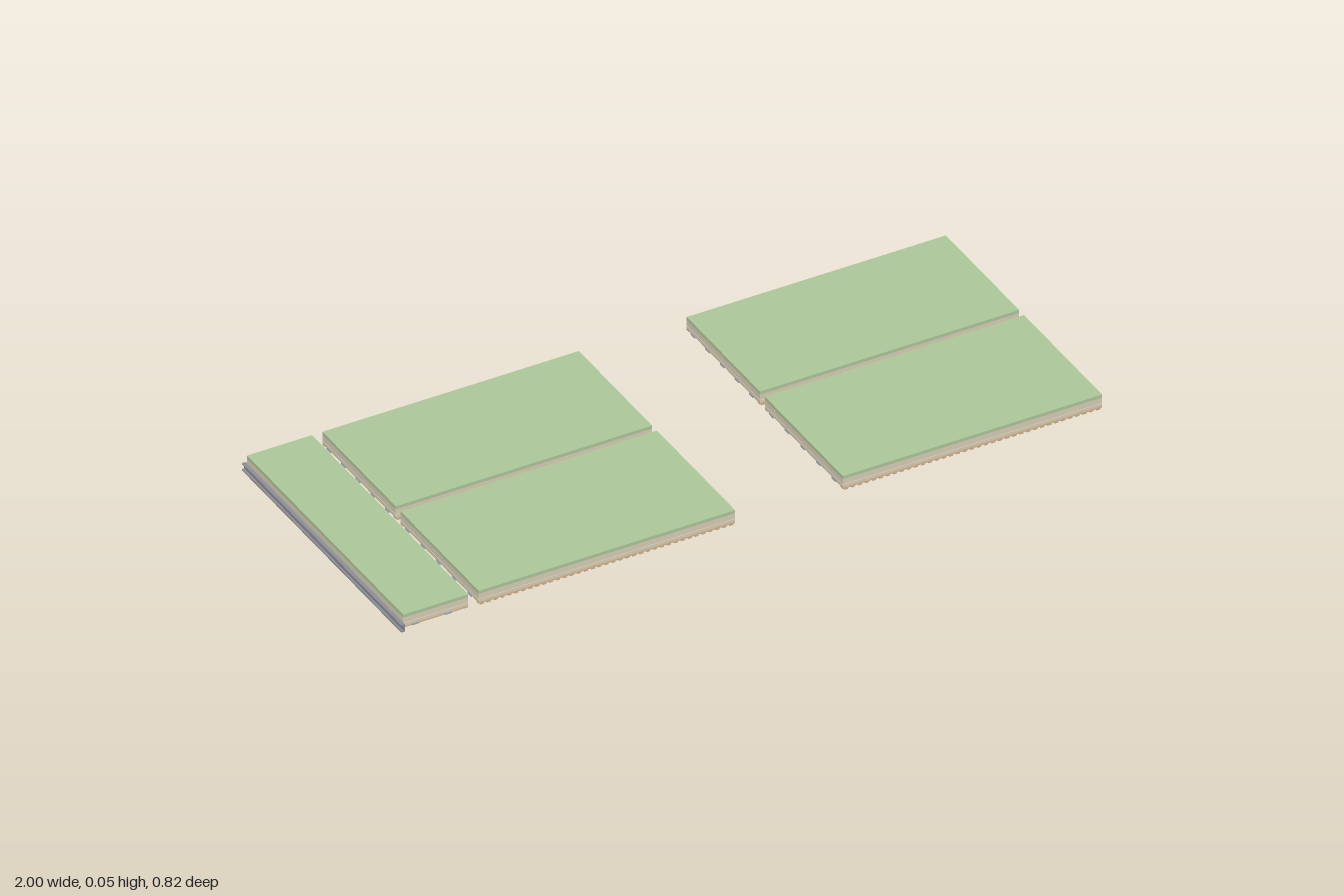
import * as THREE from 'three';

const mat = (name, color) => {
  const m = new THREE.MeshStandardMaterial({ color });
  m.name = name;
  return m;
};

export function createModel() {
  const green = mat('green covering', 0xaec89a);
  const beige = mat('beige insulation', 0xd9d0b8);
  const tan = mat('tan timber', 0xd6b48c);
  const blueGrey = mat('blue grey runner', 0xa3b0c4);
  const steel = mat('grey steel', 0x8f8f98);
  const model = new THREE.Group();

  // Box given by its limits on each axis
  function slab(parent, name, material, x0, x1, y0, y1, z0, z1) {
    const mesh = new THREE.Mesh(new THREE.BoxGeometry(x1 - x0, y1 - y0, z1 - z0), material);
    mesh.position.set((x0 + x1) / 2, (y0 + y1) / 2, (z0 + z1) / 2);
    mesh.name = name;
    parent.add(mesh);
  }

  // Layered panel; its runners follow the long side and the battens cross them
  function panel(name, x0, x1, z0, z1) {
    const g = new THREE.Group();
    g.name = name;
    slab(g, 'topCovering', green, x0, x1, 0.037, 0.046, z0, z1);
    slab(g, 'insulation', beige, x0, x1, 0.021, 0.037, z0, z1);
    slab(g, 'jointLayer', steel, x0 + 0.002, x1 - 0.002, 0.0195, 0.021, z0 + 0.002, z1 - 0.002);
    slab(g, 'lowerBoard', beige, x0, x1, 0.011, 0.0195, z0, z1);

    const alongX = x1 - x0 > z1 - z0;
    const [a0, a1, b0, b1] = alongX ? [x0, x1, z0, z1] : [z0, z1, x0, x1];
    const bar = (part, m, p0, p1, y0, y1, q0, q1) => alongX
      ? slab(g, part, m, p0, p1, y0, y1, q0, q1)
      : slab(g, part, m, q0, q1, y0, y1, p0, p1);

    // Runners between timber edge strips
    const rows = Math.round((b1 - b0) / 0.08);
    for (let i = 0; i < rows; i++) {
      const c = b0 + (i + 0.4) * (b1 - b0) / rows;
      bar('runner', blueGrey, a0, a1 + (alongX && x0 < 0 ? 0.003 : 0), 0.005, 0.011, c - 0.01, c + 0.01);
    }
    for (const c of [b0, b1 - 0.012]) bar('edgeStrip', tan, a0, a1, 0.007, 0.011, c, c + 0.012);

    // Closely spaced battens on the underside
    const count = Math.round((a1 - a0) / 0.02);
    const step = (a1 - a0) / count;
    for (let i = 0; i < count; i++) {
      const p = a0 + i * step;
      bar('batten', tan, p + 0.005, p + step - 0.005, 0.003, 0.007, b0, b1);
    }
    model.add(g);
  }

  panel('endPanel', -0.99, -0.805, -0.4, 0.4);
  for (const [x0, x1, side] of [[-0.775, -0.045, 'middle'], [0.262, 1, 'left']]) {
    panel(side + 'BackPanel', x0, x1, -0.4, -0.025);
    panel(side + 'FrontPanel', x0, x1, 0, 0.4);
  }

  // Channel rail along the outer end
  const rail = new THREE.Group();
  rail.name = 'endRail';
  slab(rail, 'railWeb', steel, -0.994, -0.99, 0, 0.022, -0.408, 0.408);
  slab(rail, 'railTopFlange', steel, -1, -0.994, 0.018, 0.022, -0.408, 0.408);
  slab(rail, 'railBottomFlange', steel, -1, -0.994, 0, 0.004, -0.408, 0.408);
  model.add(rail);

  return model;
}
